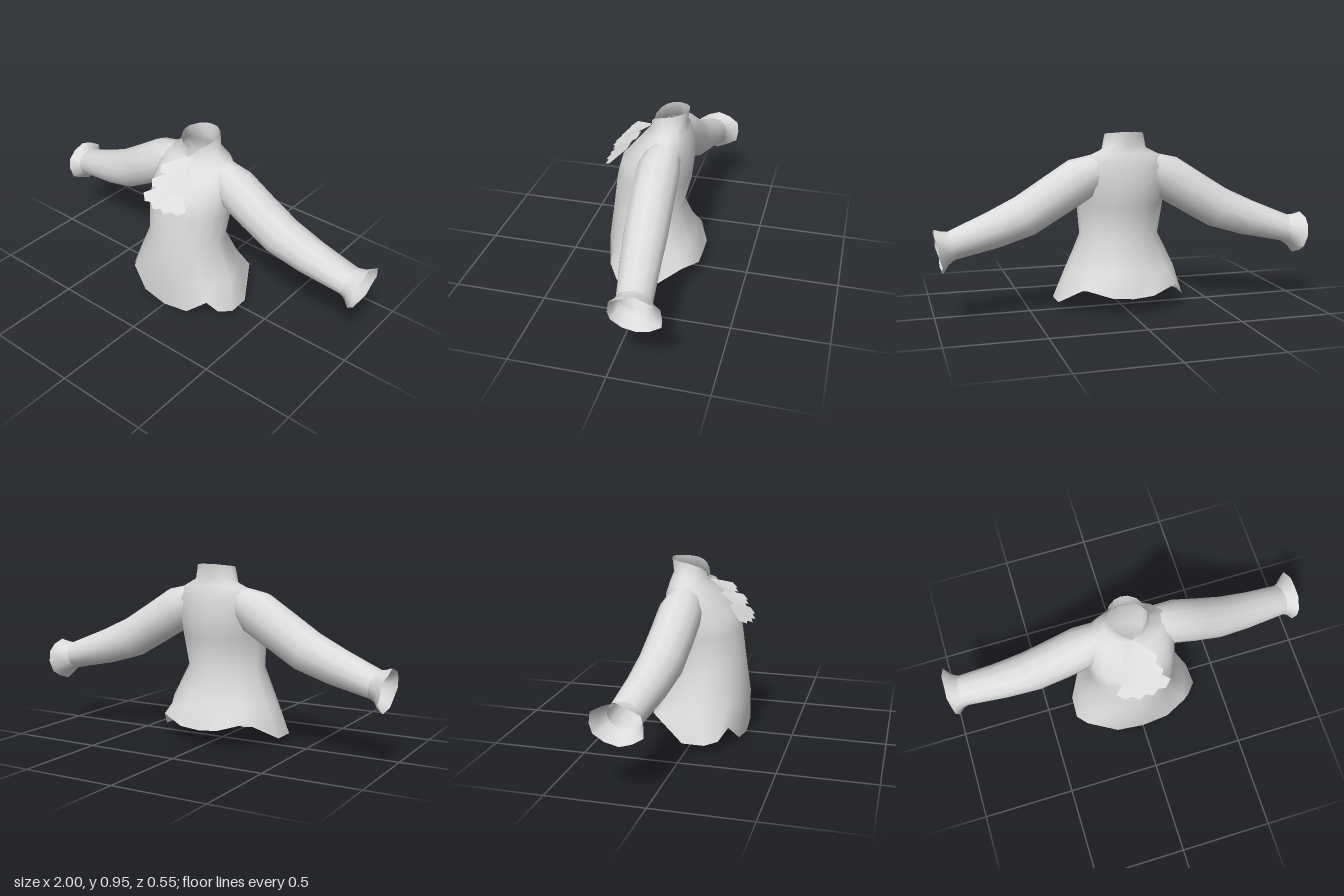
import * as THREE from 'three';

const cloth = new THREE.MeshStandardMaterial({ color: 0xdcdcdc, side: THREE.DoubleSide });
cloth.name = 'paleCloth';

// Skin a list of rows of points; rows may be closed into rings
function loft(rows, closed) {
  const n = rows[0].length, pos = [], index = [];
  rows.forEach(row => row.forEach(p => pos.push(...p)));
  for (let i = 0; i < rows.length - 1; i++) {
    for (let j = 0; j < (closed ? n : n - 1); j++) {
      const k = (j + 1) % n, a = i * n + j, b = i * n + k;
      index.push(a, b, b + n, a, b + n, a + n);
    }
  }
  const g = new THREE.BufferGeometry();
  g.setAttribute('position', new THREE.Float32BufferAttribute(pos, 3));
  g.setIndex(index);
  g.computeVertexNormals();
  return g;
}

function part(name, geometry) {
  const m = new THREE.Mesh(geometry, cloth);
  m.name = name;
  return m;
}

// Mirror a half row (front centre to back centre) into a full ring
const mirrorRow = half =>
  [...half, ...half.slice(1, -1).reverse().map(([x, y, z]) => [-x, y, z])];

// Angles of the half-ring columns, from front centre round to back centre
const angles = [0, 25, 47, 65, 85, 105, 135, 160, 180].map(THREE.MathUtils.degToRad);

// Half ring with different front and back depths and a tilted level
function bodyRow(yFront, yBack, w, zFront, zBack, zMid) {
  return angles.map(t => {
    const c = Math.cos(t);
    return [w * Math.sin(t), yBack + (yFront - yBack) * (c + 1) / 2,
      zMid + c * (c > 0 ? zFront - zMid : zMid - zBack)];
  });
}

function createBody() {
  // Notched hem with front and back tails
  const hem = [[0, 0, 0.25], [0.15, 0.02, 0.24], [0.26, 0.115, 0.205], [0.305, 0.05, 0.16],
    [0.355, 0.042, 0.1], [0.35, 0.04, -0.02], [0.25, 0.14, -0.19], [0.11, 0.1, -0.25], [0, 0.09, -0.25]];
  const levels = [
    [0.2, 0.22, 0.3, 0.266, -0.215, 0.03],
    [0.39, 0.39, 0.215, 0.245, -0.135, 0.04],
    [0.58, 0.56, 0.235, 0.218, -0.178, 0.02],
    [0.66, 0.66, 0.24, 0.195, -0.187, -0.02],
    [0.74, 0.77, 0.235, 0.125, -0.185, -0.05],
    [0.8, 0.84, 0.195, 0.073, -0.162, -0.06],
    [0.835, 0.88, 0.118, 0.04, -0.15, -0.06],
  ];
  // Standing collar, open in a V at the throat
  const collarY = [0.842, 0.888, 0.912, 0.925, 0.935, 0.94, 0.945, 0.95, 0.95];
  const collar = bodyRow(0, 0, 0.102, 0.036, -0.16, -0.06).map(([x, , z], i) => [x, collarY[i], z]);
  const rows = [hem, ...levels.map(l => bodyRow(...l)), collar];
  return part('bodyAndCollar', loft(rows.map(mirrorRow), true));
}

// Ring across the arm: centre, tilt of the arm, radii and ruffle depth
function armRing([x, y, z, tilt, r, rz], side, wave = 0) {
  const n = 12, ring = [];
  for (let j = 0; j < n; j++) {
    const a = j / n * Math.PI * 2, k = 1 + wave * (j % 2 ? -1 : 1);
    const up = r * k * Math.cos(a);
    ring.push([side * (x + up * Math.sin(tilt) + wave * 0.1 * (j % 2 ? 1 : -1)),
      y + up * Math.cos(tilt), z + rz * k * Math.sin(a)]);
  }
  return side > 0 ? ring : ring.reverse();
}

function createSleeve(side) {
  const g = new THREE.Group();
  g.name = side > 0 ? 'leftSleeve' : 'rightSleeve';
  const arm = [
    [0.13, 0.755, -0.06, 0.45, 0.085, 0.085],
    [0.24, 0.7, -0.055, 0.5, 0.118, 0.112],
    [0.38, 0.615, -0.06, 0.56, 0.115, 0.112],
    [0.53, 0.525, -0.07, 0.48, 0.112, 0.11],
    [0.7, 0.462, -0.088, 0.34, 0.097, 0.1],
    [0.92, 0.397, -0.118, 0.25, 0.074, 0.087],
  ];
  g.add(part('arm', loft(arm.map(s => armRing(s, side)), true)));
  // Flared cuff
  const cuff = [
    armRing([0.905, 0.4, -0.118, 0.18, 0.072, 0.086], side),
    armRing([0.945, 0.39, -0.126, 0.18, 0.085, 0.1], side, 0.02),
    armRing([0.981, 0.376, -0.138, 0.17, 0.11, 0.134], side, 0.04),
  ];
  g.add(part('cuff', loft(cuff, true)));
  return g;
}

// Pleated fan: [half width, y, z] at the top and the bottom
function createRuffle(name, top, bottom) {
  const cols = 8, rows = [];
  for (let i = 0; i <= 2; i++) {
    const t = i / 2, row = [];
    for (let j = 0; j <= cols; j++) {
      const u = j / cols * 2 - 1, fold = j % 2 ? -1 : 1;
      const w = THREE.MathUtils.lerp(top[0], bottom[0], t);
      row.push([u * w,
        THREE.MathUtils.lerp(top[1], bottom[1], t) + t * (0.022 * u * u + 0.006 * fold),
        THREE.MathUtils.lerp(top[2], bottom[2], t) - t * (0.035 * u * u + 0.008 * fold)]);
    }
    rows.unshift(row);
  }
  return part(name, loft(rows, false));
}

export function createModel() {
  const shirt = new THREE.Group();
  shirt.name = 'ruffledShirt';
  shirt.add(createBody(), createSleeve(1), createSleeve(-1));
  // Three tiers of frill down the chest
  const frill = new THREE.Group();
  frill.name = 'chestFrill';
  frill.add(
    createRuffle('upperRuffle', [0.012, 0.84, 0.045], [0.1, 0.776, 0.185]),
    createRuffle('middleRuffle', [0.04, 0.772, 0.11], [0.115, 0.712, 0.24]),
    createRuffle('lowerRuffle', [0.055, 0.712, 0.16], [0.145, 0.632, 0.275]),
  );
  shirt.add(frill);
  return shirt;
}
